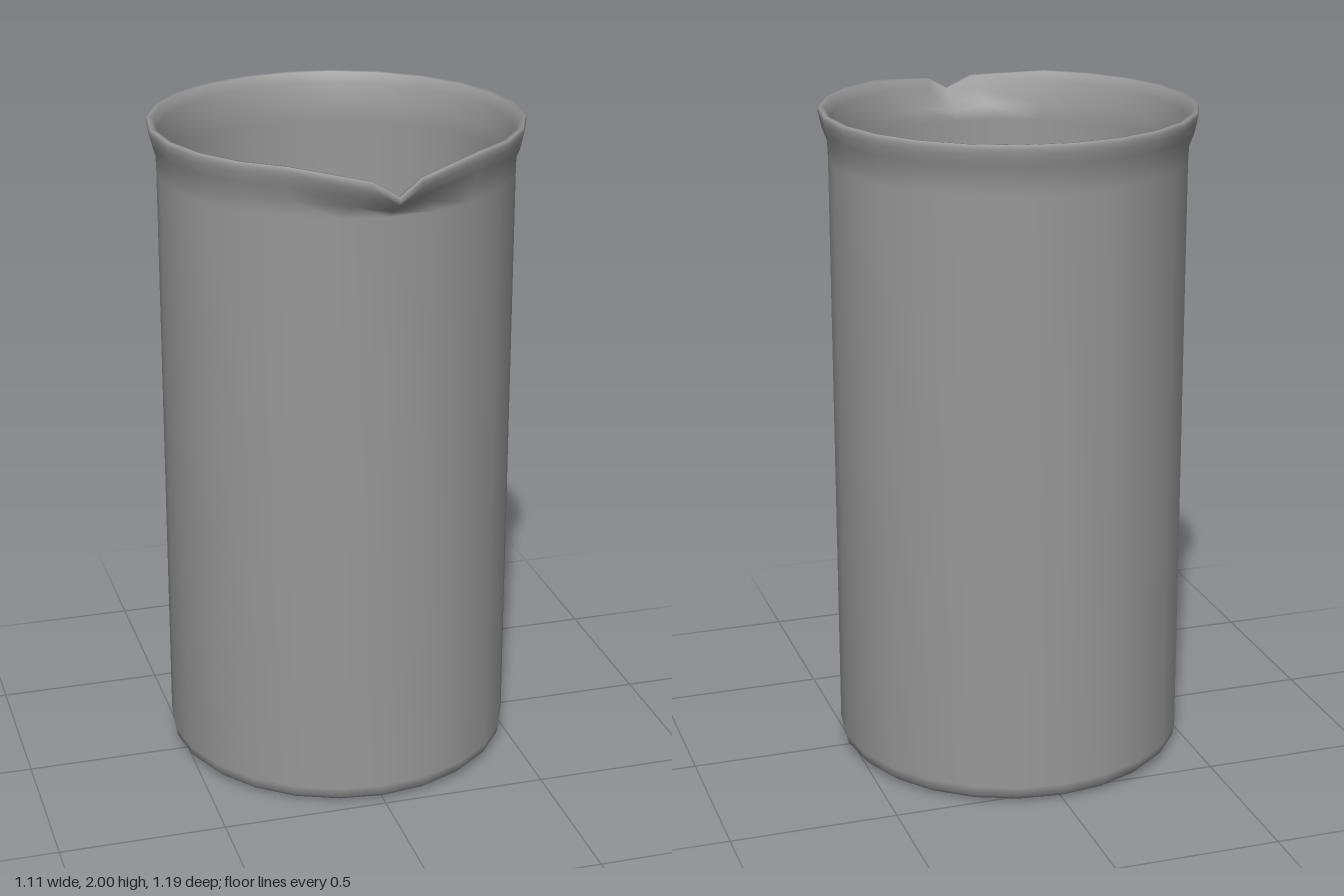
import * as THREE from 'three';
import { mergeVertices } from 'three/addons/utils/BufferGeometryUtils.js';

const SEGMENTS = 24;

// Wall section: outer side from the base up, over the beaded lip, down the inside
const PROFILE = [
  [0, 0], [0.475, 0], [0.505, 0.008], [0.523, 0.025], [0.529, 0.055],
  [0.529, 1.85], [0.531, 1.9], [0.546, 1.94], [0.552, 1.97], [0.556, 1.988], [0.552, 2], [0.538, 1.998],
  [0.524, 1.965], [0.511, 1.9], [0.508, 1.85],
  [0.508, 0.06], [0.495, 0.032], [0.468, 0.02], [0, 0.02],
].map(([r, y]) => new THREE.Vector2(r, y));

// Pull the lip forward and down into a pouring spout, fading out below the rim
function shapeSpout(geometry) {
  const p = geometry.attributes.position;
  for (let i = 0; i < p.count; i++) {
    const x = p.getX(i), y = p.getY(i), z = p.getZ(i);
    const w = THREE.MathUtils.clamp((y - 1.85) / 0.13, 0, 1);
    const column = Math.round(Math.abs(Math.atan2(x, z)) / (Math.PI * 2 / SEGMENTS));
    if (w === 0 || column > 1) continue;
    if (column === 0) p.setXYZ(i, x, y - 0.066 * w, z + 0.075 * w);
    else p.setXYZ(i, x * (1 - 0.5 * w), y - 0.025 * w, z + 0.065 * w);
  }
}

export function createModel() {
  const group = new THREE.Group();
  group.name = 'beaker';

  let geometry = new THREE.LatheGeometry(PROFILE, SEGMENTS);
  shapeSpout(geometry);

  // Weld the seam so shading is smooth all round
  geometry.deleteAttribute('uv');
  geometry.deleteAttribute('normal');
  geometry = mergeVertices(geometry, 1e-4);
  geometry.computeVertexNormals();

  const vessel = new THREE.Mesh(geometry, new THREE.MeshStandardMaterial({ color: 0x989898 }));
  vessel.name = 'vesselWithSpout';
  vessel.position.z = -0.04;
  group.add(vessel);
  return group;
}
